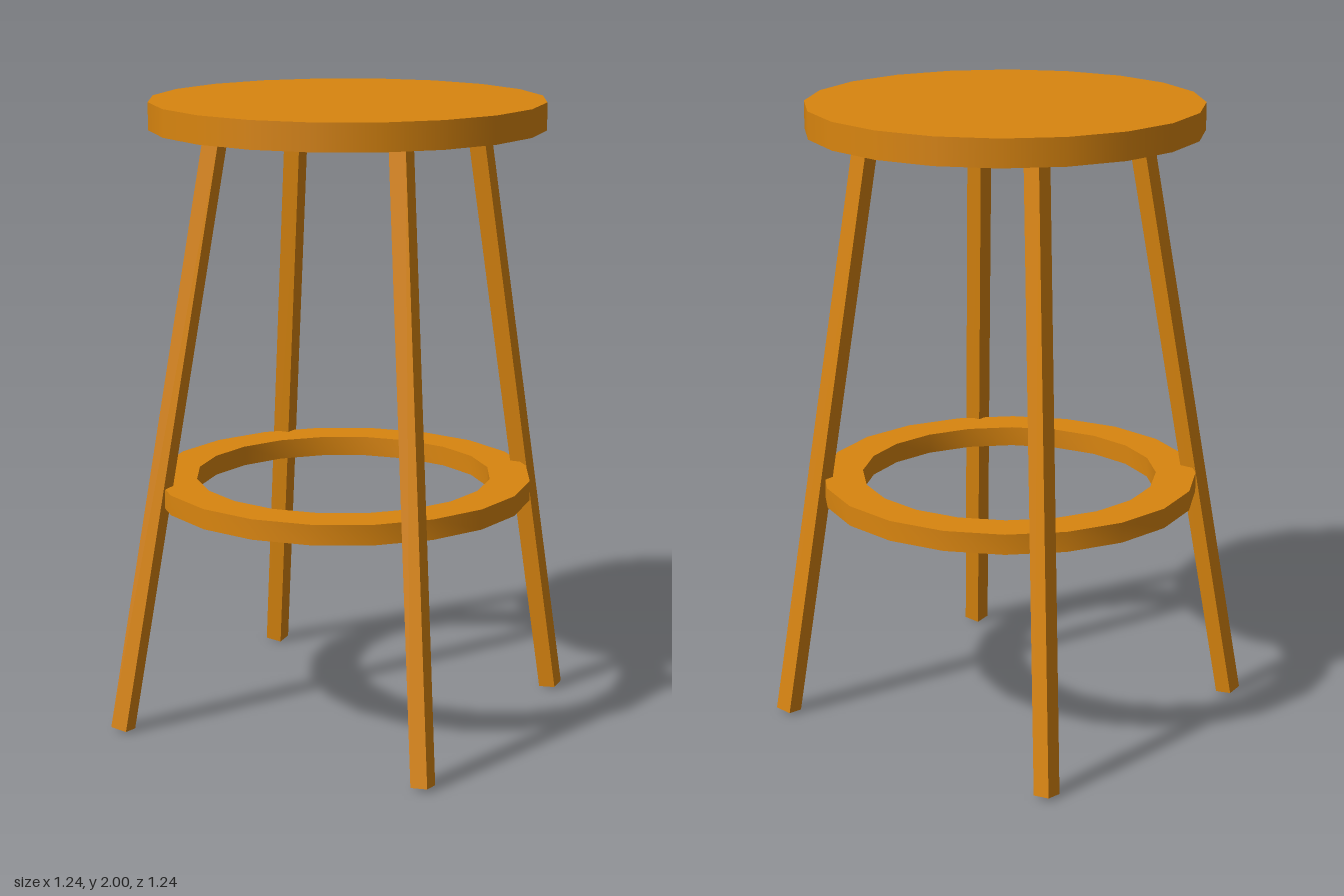
import * as THREE from 'three';
import { toCreasedNormals } from 'three/addons/utils/BufferGeometryUtils.js';

const SIDES = 20;
const LEG_WIDTH = 0.056;

const wood = new THREE.MeshStandardMaterial({ color: 0xd9850f });
wood.name = 'orange wood';

function addMesh(group, name, geometry) {
  const mesh = new THREE.Mesh(geometry, wood);
  mesh.name = name;
  group.add(mesh);
  return mesh;
}

// Corner points of a regular polygon
function polygon(radius) {
  return Array.from({ length: SIDES }, (_, i) => {
    const a = (i / SIDES) * Math.PI * 2;
    return new THREE.Vector2(Math.cos(a) * radius, Math.sin(a) * radius);
  });
}

// Square bar running between two points
function addBar(group, name, bottom, top) {
  const dir = top.clone().sub(bottom);
  const length = dir.length();
  const bar = addMesh(group, name, new THREE.BoxGeometry(LEG_WIDTH, length, LEG_WIDTH));
  bar.position.copy(bottom).add(top).multiplyScalar(0.5);
  bar.quaternion.setFromUnitVectors(new THREE.Vector3(0, 1, 0), dir.normalize());
}

export function createModel() {
  const stool = new THREE.Group();
  stool.name = 'stool';

  // Round seat
  const seat = addMesh(stool, 'seat', new THREE.CylinderGeometry(0.62, 0.62, 0.086, SIDES));
  seat.position.y = 1.957;

  // Flat foot ring, a little off centre
  const ringShape = new THREE.Shape(polygon(0.6));
  ringShape.holes.push(new THREE.Path(polygon(0.472)));
  const ringGeometry = new THREE.ExtrudeGeometry(ringShape, { depth: 0.064, bevelEnabled: false });
  ringGeometry.rotateX(-Math.PI / 2);
  const ring = addMesh(stool, 'footRing', toCreasedNormals(ringGeometry, Math.PI / 6));
  ring.position.set(-0.01, 0.736, 0.01);

  // Splayed legs, slightly uneven: foot x, z and top x, z
  const legs = {
    frontLeftLeg: [0.52, 0.514, 0.33, 0.297],
    frontRightLeg: [-0.546, 0.514, -0.297, 0.297],
    backLeftLeg: [0.513, -0.497, 0.318, -0.279],
    backRightLeg: [-0.538, -0.497, -0.33, -0.279],
  };
  for (const [name, [fx, fz, tx, tz]] of Object.entries(legs)) {
    addBar(stool, name, new THREE.Vector3(fx, 0.007, fz), new THREE.Vector3(tx, 1.925, tz));
  }

  return stool;
}
